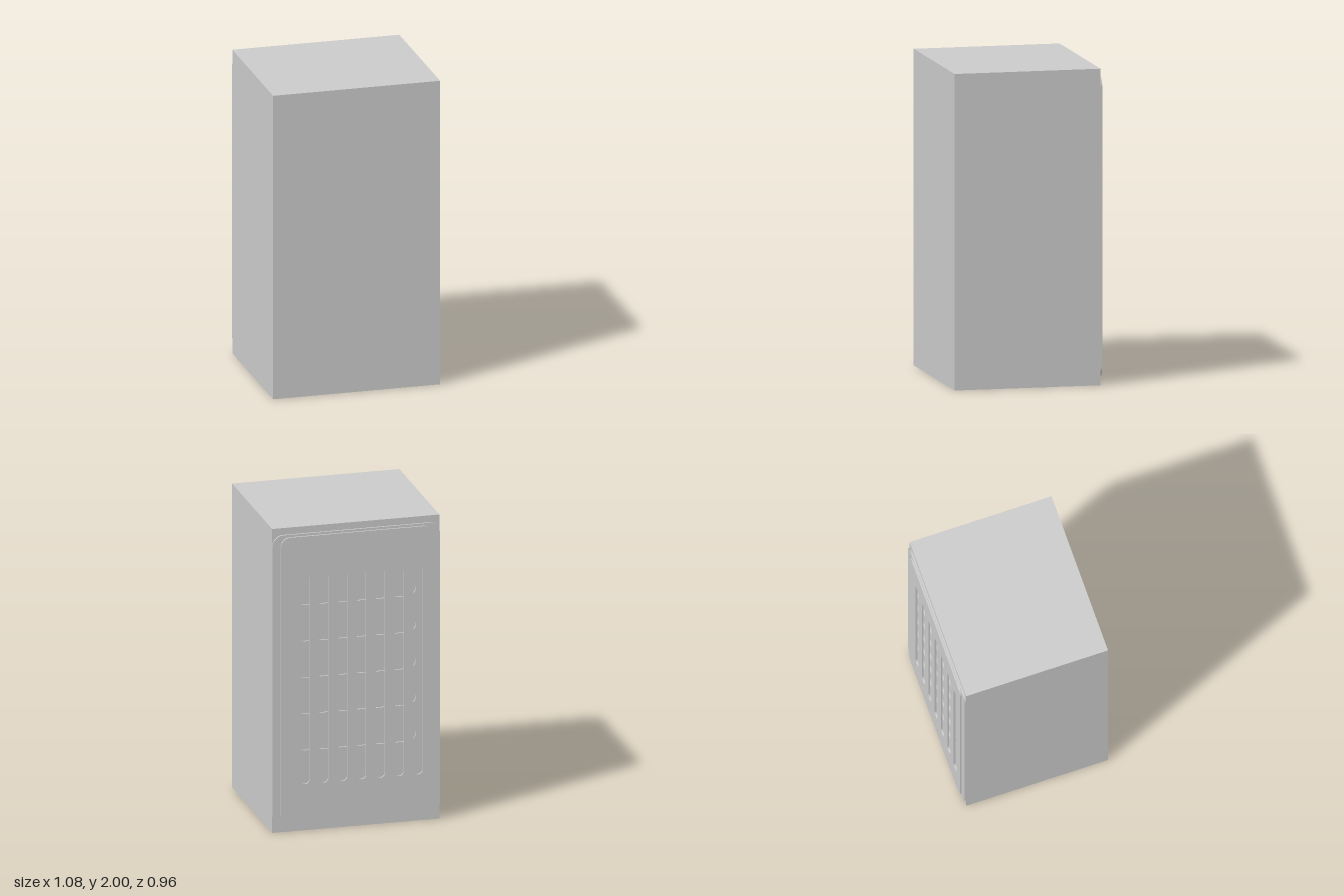
import * as THREE from 'three';

const material = new THREE.MeshStandardMaterial({ color: 0xcccccc, flatShading: true });

// Traces a rounded rectangle centred on (cx, cy) into a Shape or Path
function roundedRect(path, cx, cy, w, h, r) {
  const x0 = cx - w / 2, x1 = cx + w / 2, y0 = cy - h / 2, y1 = cy + h / 2;
  path.moveTo(x0 + r, y0);
  path.lineTo(x1 - r, y0);
  path.absarc(x1 - r, y0 + r, r, -Math.PI / 2, 0);
  path.lineTo(x1, y1 - r);
  path.absarc(x1 - r, y1 - r, r, 0, Math.PI / 2);
  path.lineTo(x0 + r, y1);
  path.absarc(x0 + r, y1 - r, r, Math.PI / 2, Math.PI);
  path.lineTo(x0, y0 + r);
  path.absarc(x0 + r, y0 + r, r, Math.PI, Math.PI * 1.5);
  return path;
}

// Thin plate with slots, its front side lying at z
function plate(name, w, h, r, z, depth, slots) {
  const shape = roundedRect(new THREE.Shape(), 0, 1, w, h, r);
  for (const [x, y, sw, sh] of slots) {
    const radius = Math.min(sw, sh) / 2 - 0.0005;
    shape.holes.push(roundedRect(new THREE.Path(), x, y, sw, sh, radius));
  }
  const geometry = new THREE.ExtrudeGeometry(shape, { depth, bevelEnabled: false, curveSegments: 6 });
  const mesh = new THREE.Mesh(geometry, material);
  mesh.name = name;
  mesh.position.z = z - depth;
  return mesh;
}

export function createModel() {
  const group = new THREE.Group();
  group.name = 'ventedCabinet';

  // Solid cabinet
  const body = new THREE.Mesh(new THREE.BoxGeometry(1.084, 2, 0.938), material);
  body.name = 'body';
  body.position.set(0, 1, 0.011);
  group.add(body);

  // Inner back plate with five horizontal slots
  const rows = [];
  for (let i = 0; i < 5; i++) rows.push([0, 0.585 + i * 0.239, 0.775, 0.112]);
  group.add(plate('innerBackPlate', 1.084, 1.91, 0.07, -0.458, 0.011, rows));

  // Outer back plate with seven vertical slots, set slightly off centre
  const columns = [];
  for (let i = 0; i < 7; i++) columns.push([-0.398 + i * 0.122, 1, 0.058, 1.38]);
  group.add(plate('outerBackPlate', 0.98, 1.88, 0.06, -0.469, 0.011, columns));

  return group;
}
